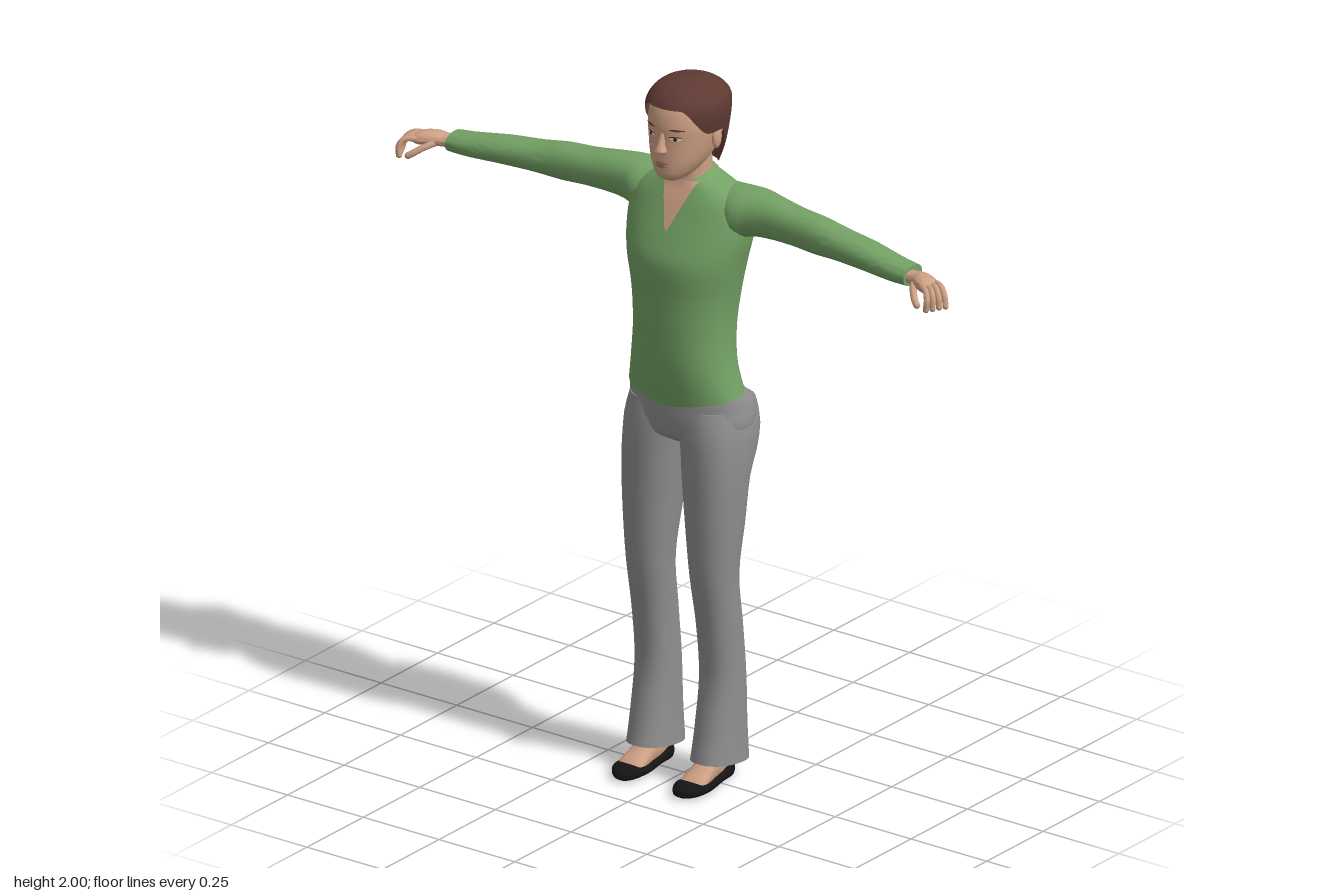
import * as THREE from 'three';
import { toCreasedNormals, mergeGeometries } from 'three/addons/utils/BufferGeometryUtils.js';

const mat = (name, color) => {
  const m = new THREE.MeshStandardMaterial({ color, side: THREE.DoubleSide });
  m.name = name;
  return m;
};
const { smoothstep, clamp } = THREE.MathUtils;

// Smooth lookup of [t, a0, a1, b0, b1] sections at position t
function at(secs, t) {
  let i = 0;
  while (i < secs.length - 2 && t > secs[i + 1][0]) i++;
  const p = secs[i], q = secs[i + 1], h = q[0] - p[0], u = clamp((t - p[0]) / h, 0, 1);
  const before = secs[i - 1] || p, after = secs[i + 2] || q;
  return [1, 2, 3, 4].map(k => {
    const m0 = (q[k] - before[k]) / (q[0] - before[0]) * h;
    const m1 = (after[k] - p[k]) / (after[0] - p[0]) * h;
    const u2 = u * u, u3 = u2 * u;
    return (2 * u3 - 3 * u2 + 1) * p[k] + (u3 - 2 * u2 + u) * m0 + (3 * u2 - 2 * u3) * q[k] + (u3 - u2) * m1;
  });
}

// Point on a rounded section; angle 0 faces +b
function around(secs, t, ang, n) {
  const [a0, a1, b0, b1] = at(secs, t);
  const pw = v => Math.sign(v) * Math.abs(v) ** (2 / n);
  return [(a0 + a1) / 2 + (a1 - a0) / 2 * pw(Math.sin(ang)), (b0 + b1) / 2 + (b1 - b0) / 2 * pw(Math.cos(ang))];
}

// Grid surface from fn(u, v), u across and v along
function grid(nu, nv, fn) {
  const pos = [], idx = [];
  for (let i = 0; i <= nv; i++) for (let j = 0; j <= nu; j++) pos.push(...fn(j / nu, i / nv));
  for (let i = 0; i < nv; i++) for (let j = 0; j < nu; j++) {
    const a = i * (nu + 1) + j, c = a + nu + 1;
    idx.push(a, a + 1, c, a + 1, c + 1, c);
  }
  const g = new THREE.BufferGeometry();
  g.setAttribute('position', new THREE.Float32BufferAttribute(pos, 3));
  g.setIndex(idx);
  return toCreasedNormals(g, 0.9);
}

const upright = (t, a, b) => [a, t, b];
const sideways = (t, a, b) => [t, b, a];
const forward = (t, a, b) => [-a, b, t];

// Closed loft through sections, with flat end caps
function loft(secs, map = upright, n = 2.2, nu = 28, nv = secs.length * 3) {
  const t0 = secs[0][0], t1 = secs[secs.length - 1][0];
  return grid(nu, nv + 2, (u, v) => {
    const r = Math.round(v * (nv + 2)), t = t0 + (t1 - t0) * clamp((r - 1) / nv, 0, 1);
    const [a0, a1, b0, b1] = at(secs, t);
    if (r === 0 || r === nv + 2) return map(t, (a0 + a1) / 2, (b0 + b1) / 2);
    return map(t, ...around(secs, t, u * Math.PI * 2, n));
  });
}

// Mirror across x, keeping faces outward
function mirror(geo) {
  const g = geo.clone().scale(-1, 1, 1);
  for (const key of ['position', 'normal']) {
    const arr = g.attributes[key].array;
    for (let i = 0; i < arr.length; i += 9) for (let k = 0; k < 3; k++) {
      [arr[i + 3 + k], arr[i + 6 + k]] = [arr[i + 6 + k], arr[i + 3 + k]];
    }
  }
  return g;
}

// Symmetric sections: [y, half width, front z, back z]
const body = rows => rows.map(([y, w, f, b]) => [y, -w, w, b, f]);

const torso = body([[1.115, .17, .088, -.116], [1.2, .15, .105, -.11], [1.3, .142, .11, -.12], [1.4, .15, .111, -.135],
  [1.5, .17, .112, -.145], [1.56, .183, .09, -.147], [1.62, .187, .062, -.145], [1.67, .17, .038, -.135],
  [1.7, .12, .022, -.12], [1.72, .07, .015, -.11], [1.735, .055, .0, -.1]]);
const head = body([[1.732, .022, .075, .01], [1.745, .042, .095, -.02], [1.77, .062, .1, -.06], [1.8, .077, .1, -.09],
  [1.85, .09, .097, -.115], [1.9, .094, .095, -.12], [1.95, .085, .075, -.11], [1.98, .05, .03, -.07]]);
const hair = body([[1.74, .06, 0, -.105], [1.8, .085, .05, -.125], [1.86, .1, .09, -.138], [1.92, .107, .104, -.145],
  [1.95, .102, .098, -.142], [1.98, .078, .068, -.11], [1.994, .045, .03, -.07], [2, 0, -.02, -.02]]);

// Front z of a body at (x, y)
function frontZ(secs, x, y, n) {
  const [a0, a1, b0, b1] = at(secs, y);
  const s = Math.min(1, Math.abs(x - (a0 + a1) / 2) / ((a1 - a0) / 2));
  return (b0 + b1) / 2 + (b1 - b0) / 2 * (1 - s ** n) ** (1 / n);
}
// Thin lens-shaped plate lying on the face
const facePlate = (x, y, w, h, lift) => grid(8, 4, (u, v) => {
  const px = x + (u - .5) * w, py = y + (v - .5) * h * Math.sin(Math.PI * clamp(u, .08, .92));
  return [px, py, frontZ(head, px, py, 2.2) + lift];
});

export function createModel() {
  const model = new THREE.Group();
  const skin = mat('skin', 0xcfa184), hairMat = mat('hair brown', 0x5f3a33), green = mat('sweater green', 0x74a265),
    grey = mat('trouser grey', 0x8f8f8f), black = mat('shoe black', 0x151515),
    lip = mat('lip', 0xb07866), white = mat('eye white', 0xe6e0da), dark = mat('eye dark', 0x3a2a24);
  const add = (name, geo, m) => {
    const mesh = new THREE.Mesh(geo, m);
    mesh.name = name;
    model.add(mesh);
  };
  const pair = (name, geo, m) => {
    add('left ' + name, geo, m);
    add('right ' + name, mirror(geo), m);
  };

  // Sweater with a hem that dips at the front
  add('sweater', loft(torso, (t, a, b) => [a, t - .03 * Math.max(0, 1 - Math.abs(a) / .17) *
    smoothstep(b, -.1, .08) * clamp((1.2 - t) / .085, 0, 1), b], 2.3, 40, 40), green);
  pair('sleeve', loft([[.1, -.14, 0, 1.57, 1.7], [.16, -.145, .02, 1.565, 1.704], [.2, -.135, .008, 1.58, 1.706],
    [.26, -.115, .002, 1.588, 1.703], [.34, -.1, .005, 1.592, 1.695], [.42, -.09, .01, 1.59, 1.692],
    [.5, -.083, .018, 1.595, 1.68], [.6, -.07, .03, 1.597, 1.672], [.7, -.05, .04, 1.597, 1.66],
    [.757, -.04, .043, 1.6, 1.655]], sideways), green);
  // Open neckline
  add('neckline', grid(12, 14, (u, v) => {
    const y = 1.59 + .128 * v, x = (u - .5) * 2 * (.004 + .05 * v);
    return [x, y, frontZ(torso, x, y, 2.3) + .005];
  }), skin);
  add('neck', loft(body([[1.66, .058, .03, -.09], [1.72, .053, .02, -.09], [1.79, .052, .03, -.09]])), skin);

  // Head, face and hair
  add('head', loft(head, upright, 2.2, 32), skin);
  add('nose', loft(body([[1.815, .01, .1, .08], [1.825, .017, .12, .08], [1.84, .011, .115, .08],
    [1.875, .007, .099, .08]]), upright, 2, 14), skin);
  pair('ear', new THREE.SphereGeometry(1, 12, 8).toNonIndexed().scale(.01, .032, .018).translate(.094, 1.848, -.02), skin);
  add('upper lip', facePlate(0, 1.79, .046, .009, .003), lip);
  add('lower lip', facePlate(0, 1.782, .038, .01, .004), lip);
  pair('eye', facePlate(.04, 1.864, .03, .012, .002), white);
  pair('iris', facePlate(.04, 1.864, .011, .011, .004), dark);
  pair('eyelash', facePlate(.04, 1.87, .033, .004, .004), dark);
  pair('eyebrow', facePlate(.042, 1.889, .04, .006, .003), hairMat);
  add('hair', grid(56, 20, (u, v) => {
    const ang = (u - .5) * Math.PI * 2, k = Math.abs(ang);
    const edge = 1.946 - .076 * smoothstep(k, .5, 1.25) - .125 * smoothstep(k, 1.65, 2.2);
    const y = edge + (2 - edge) * (1 - (1 - v) ** 1.6);
    const [x, z] = around(hair, y, ang, 2.1);
    return [x, y, z];
  }), hairMat);

  // Trousers: hips and flared legs with hems raised in front
  add('hips', loft(body([[.965, .12, .03, -.08], [.99, .165, .068, -.125], [1.03, .183, .08, -.153], [1.08, .176, .082, -.157],
    [1.11, .169, .08, -.125], [1.135, .16, .075, -.105]]), upright, 2.4, 36), grey);
  pair('trouser leg', loft([[.05, .043, .168, -.11, .077], [.15, .047, .165, -.103, .06], [.3, .05, .163, -.095, .037],
    [.45, .05, .163, -.08, .05], [.6, .043, .167, -.06, .072], [.75, .028, .178, -.08, .08], [.88, .014, .185, -.1, .082],
    [.95, .005, .187, -.135, .082], [1.02, -.004, .184, -.156, .08], [1.08, -.005, .17, -.15, .07]],
    (t, a, b) => [a, t + (b + .11) * .2 * clamp(1 - t / .15, 0, 1), b], 2.3), grey);

  // Feet in low slip-on shoes
  const flip = secs => secs.map(([z, x0, x1, y0, y1]) => [z, -x1, -x0, y0, y1]);
  pair('foot', loft(flip([[-.055, .08, .12, .01, .09], [-.01, .074, .126, .01, .1], [.03, .07, .132, .01, .09],
    [.07, .066, .138, .01, .062], [.105, .064, .14, .008, .042], [.125, .07, .13, .008, .025]]), forward), skin);
  pair('shoe', loft(flip([[-.068, .083, .117, .006, .045], [-.05, .07, .13, 0, .05], [0, .068, .134, 0, .034],
    [.06, .058, .146, 0, .03], [.1, .055, .15, 0, .036], [.135, .064, .138, 0, .034], [.155, .08, .115, .004, .022],
    [.16, .092, .1, .008, .016]]), forward, 2.6), black);

  // Hands with curled fingers
  const digit = (pts, r) => {
    const p = pts.map(q => new THREE.Vector3(...q));
    const tip = new THREE.SphereGeometry(r, 8, 6).translate(...pts[pts.length - 1]);
    return mergeGeometries([new THREE.TubeGeometry(new THREE.CatmullRomCurve3(p), 10, r, 8).toNonIndexed(), tip.toNonIndexed()]);
  };
  pair('palm', loft([[.72, -.015, .035, 1.61, 1.645], [.77, -.012, .036, 1.61, 1.645], [.8, -.01, .055, 1.612, 1.65],
    [.835, .002, .072, 1.612, 1.648], [.85, .012, .07, 1.618, 1.64]], sideways), skin);
  for (let k = 0; k < 4; k++) {
    pair('finger ' + (k + 1), digit([[.83, 1.632, .012 + .016 * k], [.87 - .003 * k, 1.632, .028 + .018 * k],
      [.89 - .006 * k, 1.614, .039 + .018 * k], [.897 - .009 * k, 1.588, .044 + .017 * k]], .0085), skin);
  }
  pair('thumb', digit([[.79, 1.625, .045], [.81, 1.615, .07], [.828, 1.602, .088], [.84, 1.594, .095]], .0095), skin);
  return model;
}
